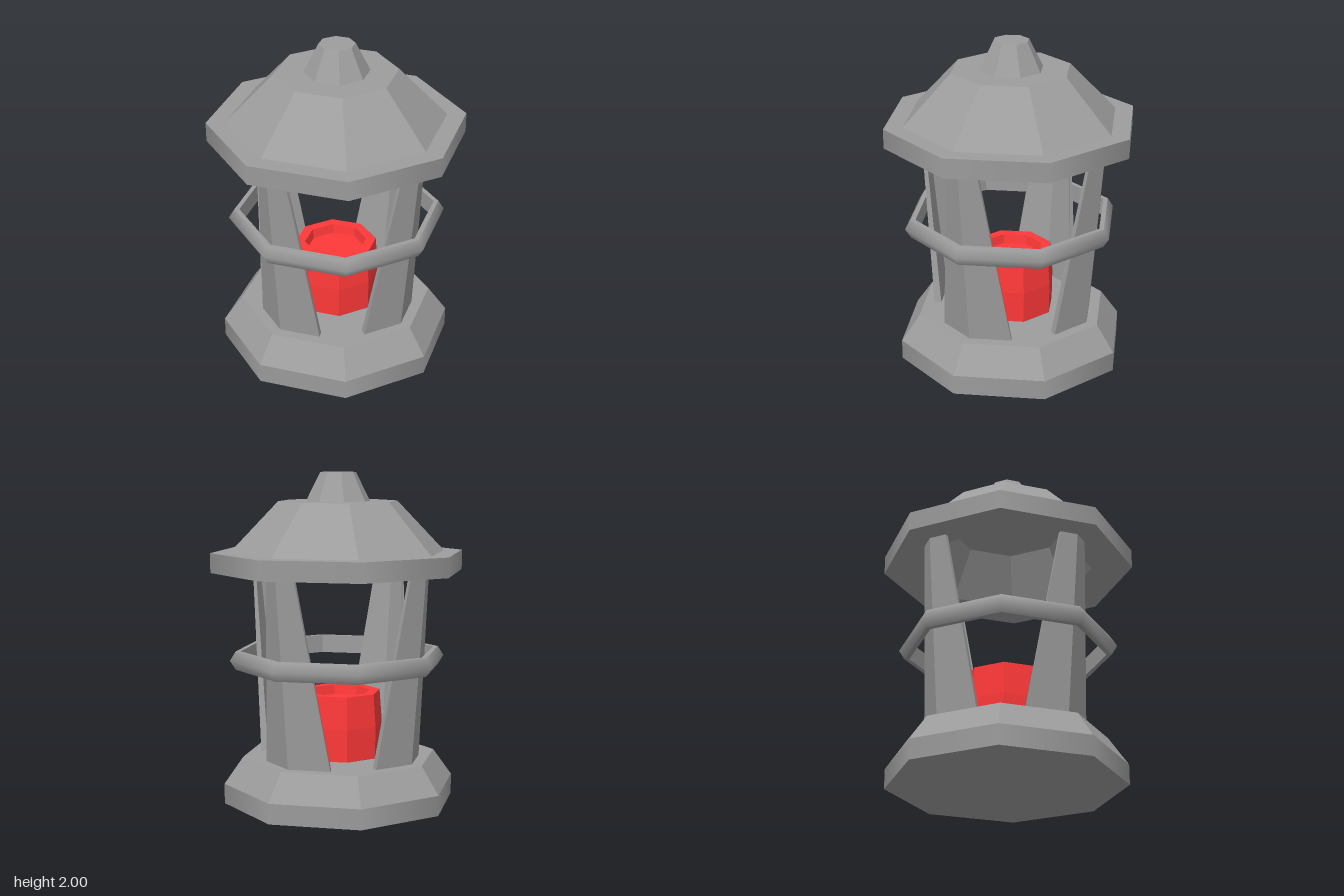
import * as THREE from 'three';

const SIDES = 8;
const LOWER_Z = -0.01; // the lower half sits slightly towards the back
const GREY = 0x9d9d9d;
const flat = new THREE.MeshStandardMaterial({ color: GREY, flatShading: true, side: THREE.DoubleSide });
const smooth = new THREE.MeshStandardMaterial({ color: GREY });
const red = new THREE.MeshStandardMaterial({ color: 0xff3838, flatShading: true, side: THREE.DoubleSide });

function add(parent, name, geometry, material) {
  const mesh = new THREE.Mesh(geometry, material);
  mesh.name = name;
  parent.add(mesh);
  return mesh;
}

// Octagonal solid turned from [radius, height] pairs
function turned(points) {
  return new THREE.LatheGeometry(points.map(([r, y]) => new THREE.Vector2(r, y)), SIDES);
}

// Octagonal wall with softly shaded sides
function band(radius, y0, y1) {
  return new THREE.CylinderGeometry(radius, radius, y1 - y0, SIDES, 1, true).translate(0, (y0 + y1) / 2, 0);
}

// Bent post: a tapering V-shaped section that follows a corner of the octagon,
// with its side edges cut along the radius
function postGeometry(angle) {
  const slope = Math.tan(Math.PI / 8);
  const section = (y, r, w, k, dz) => {
    const d = r - slope * w;
    return [[-w, d], [0, r], [w, d], [w * k, d * k], [0, r * k], [-w * k, d * k]].map(([u, v]) => [
      u * Math.cos(angle) + v * Math.sin(angle), y,
      -u * Math.sin(angle) + v * Math.cos(angle) + dz,
    ]);
  };
  const low = section(0.28, 0.523, 0.235, 0.912, LOWER_Z);
  const high = section(1.415, 0.62, 0.098, 0.966, 0);
  const positions = [];
  const quad = (a, b, c, d) => positions.push(...a, ...b, ...c, ...a, ...c, ...d);
  for (let i = 0; i < 6; i++) {
    const j = (i + 1) % 6;
    quad(low[i], low[j], high[j], high[i]);
  }
  // End caps, one quad for each wing
  quad(high[0], high[1], high[4], high[5]);
  quad(high[1], high[2], high[3], high[4]);
  quad(low[5], low[4], low[1], low[0]);
  quad(low[4], low[3], low[2], low[1]);
  const geometry = new THREE.BufferGeometry();
  geometry.setAttribute('position', new THREE.Float32BufferAttribute(positions, 3));
  geometry.computeVertexNormals();
  return geometry;
}

export function createModel() {
  const model = new THREE.Group();
  model.name = 'lantern';

  // Base: straight plinth with a sloped step on top
  const base = new THREE.Group();
  base.name = 'base';
  base.position.z = LOWER_Z;
  model.add(base);
  add(base, 'plinthWall', band(0.709, 0, 0.122), smooth);
  add(base, 'plinthBottom', turned([[0, 0], [0.709, 0]]), flat);
  add(base, 'baseSlope', turned([[0.709, 0.122], [0.593, 0.285], [0, 0.285]]), flat);

  // Candle with a shallow hollow in the top
  const candle = add(model, 'candle', turned([
    [0.262, 0.285], [0.265, 0.48], [0.25, 0.677], [0.19, 0.677], [0.18, 0.62], [0, 0.62],
  ]), red);
  candle.position.z = LOWER_Z;

  // Four posts on the main axes
  const posts = new THREE.Group();
  posts.name = 'posts';
  model.add(posts);
  for (let i = 0; i < 4; i++) add(posts, 'post', postGeometry(i * Math.PI / 2), flat);

  // Guard ring: bevelled outside, straight inside
  const ring = new THREE.Group();
  ring.name = 'guardRing';
  model.add(ring);
  add(ring, 'ringOutside', turned([[0.625, 0.82], [0.66, 0.876], [0.625, 0.932]]), smooth);
  add(ring, 'ringInside', turned([[0.625, 0.932], [0.595, 0.932], [0.595, 0.82], [0.625, 0.82]]), flat);

  // Roof: rim, sloped cap and hollow underside
  const roof = new THREE.Group();
  roof.name = 'roof';
  model.add(roof);
  add(roof, 'roofRim', band(0.77, 1.407, 1.525), smooth);
  add(roof, 'roofCap', turned([[0.77, 1.525], [0.655, 1.525], [0.363, 1.828], [0, 1.828]]), flat);
  add(roof, 'roofUnderside', turned([[0, 1.7], [0.36, 1.7], [0.52, 1.407], [0.77, 1.407]]), flat);

  // Finial
  add(model, 'finial', turned([[0.195, 1.828], [0.108, 2], [0, 2]]), flat);

  return model;
}
